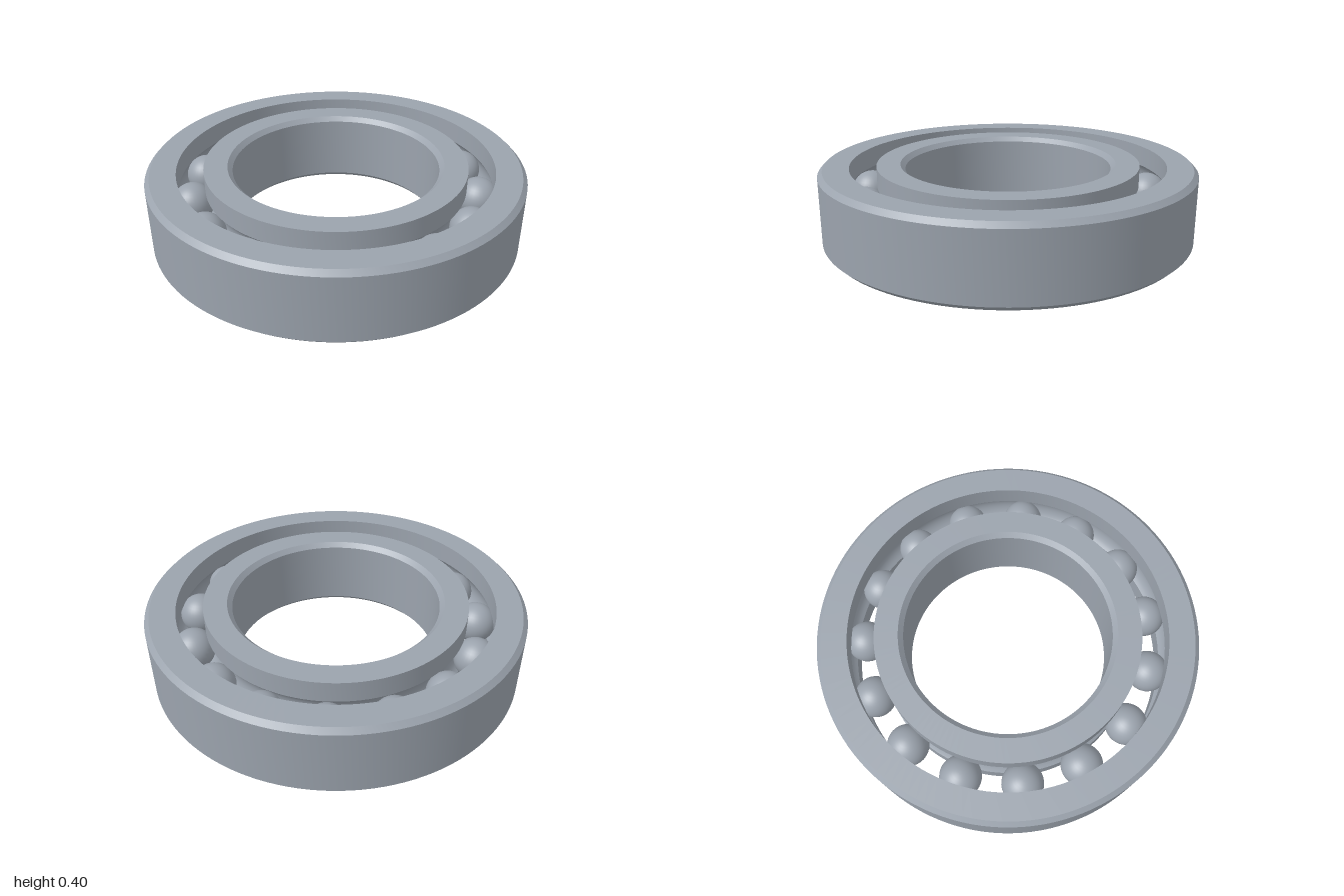
import * as THREE from 'three';
import { toCreasedNormals } from 'three/addons/utils/BufferGeometryUtils.js';

const HEIGHT = 0.4, MID = HEIGHT / 2, CHAMFER = 0.025;
const PITCH = 0.77, BALL_RADIUS = 0.11, GROOVE_RADIUS = 0.112, BALL_COUNT = 15;

// Profile points of a ball groove cut into a wall at radius wall.
// side = 1 runs downwards (outer ring), side = -1 runs upwards (inner ring).
function groove(wall, side) {
  const half = Math.acos(Math.abs(wall - PITCH) / GROOVE_RADIUS);
  const points = [];
  for (let i = 0; i <= 12; i++) {
    const a = half * (1 - i / 6);
    points.push([PITCH + side * GROOVE_RADIUS * Math.cos(a), MID + side * GROOVE_RADIUS * Math.sin(a)]);
  }
  return points;
}

// Revolve a closed counter-clockwise profile, keeping its edges sharp.
function ring(name, profile, material) {
  const points = [...profile, profile[0]].map(([r, y]) => new THREE.Vector2(r, y));
  const geometry = toCreasedNormals(new THREE.LatheGeometry(points, 128), Math.PI / 6);
  const mesh = new THREE.Mesh(geometry, material);
  mesh.name = name;
  return mesh;
}

export function createModel() {
  const model = new THREE.Group();
  model.name = 'ballBearing';
  const steel = new THREE.MeshStandardMaterial({ color: 0x9ba3ad });
  steel.name = 'steel';

  // Outer ring: chamfered outside, grooved inside
  model.add(ring('outerRing', [
    [0.84, 0], [1 - CHAMFER, 0], [1, CHAMFER],
    [1, HEIGHT - CHAMFER], [1 - CHAMFER, HEIGHT], [0.84, HEIGHT],
    ...groove(0.84, 1),
  ], steel));

  // Inner ring: chamfered bore, grooved outside
  model.add(ring('innerRing', [
    [0.55 + CHAMFER, 0], [0.7, 0],
    ...groove(0.7, -1),
    [0.7, HEIGHT], [0.55 + CHAMFER, HEIGHT],
    [0.55, HEIGHT - CHAMFER], [0.55, CHAMFER],
  ], steel));

  // Balls, evenly spaced from the -x side
  const balls = new THREE.Group();
  balls.name = 'balls';
  const ballGeometry = new THREE.SphereGeometry(BALL_RADIUS, 32, 20);
  for (let i = 0; i < BALL_COUNT; i++) {
    const a = Math.PI + (i / BALL_COUNT) * Math.PI * 2;
    const ball = new THREE.Mesh(ballGeometry, steel);
    ball.name = `ball${i + 1}`;
    ball.position.set(PITCH * Math.cos(a), MID, PITCH * Math.sin(a));
    balls.add(ball);
  }
  model.add(balls);
  return model;
}
